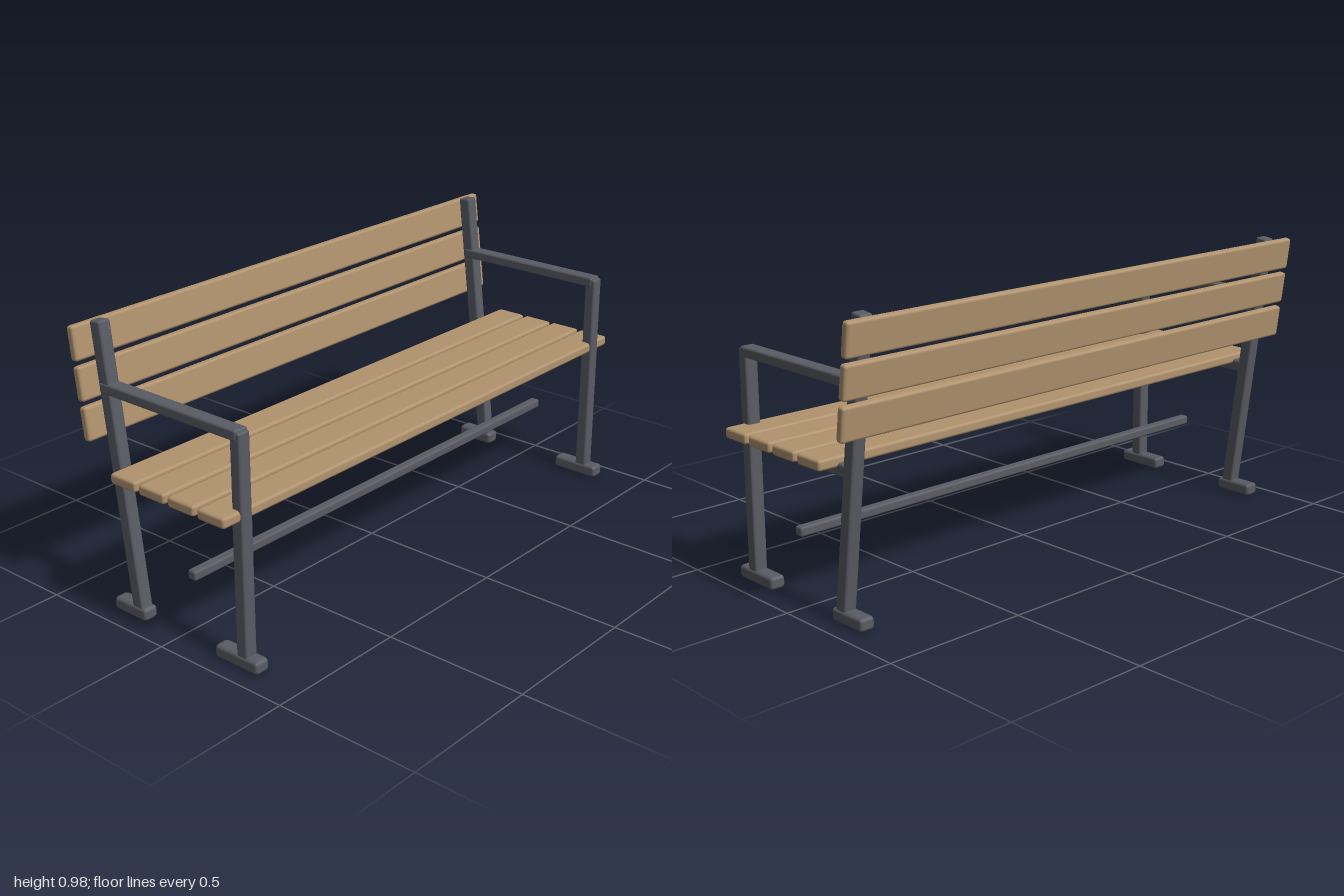
import * as THREE from 'three';
import { RoundedBoxGeometry } from 'three/addons/geometries/RoundedBoxGeometry.js';

const wood = new THREE.MeshStandardMaterial({ color: 0xb2946f });
wood.name = 'wood';
const metal = new THREE.MeshStandardMaterial({ color: 0x5a5c64 });
metal.name = 'dark metal';

// Bevelled bar given its size and centre, optionally tilted about x
function bar(parent, name, material, [w, h, d], [x, y, z], bevel, tilt = 0) {
  const mesh = new THREE.Mesh(new RoundedBoxGeometry(w, h, d, 1, bevel), material);
  mesh.name = name;
  mesh.position.set(x, y, z);
  mesh.rotation.x = tilt;
  parent.add(mesh);
  return mesh;
}

// Bevelled bar whose extents are given along y and z
function span(parent, name, width, [y0, y1], [z0, z1], bevel = 0.008) {
  return bar(parent, name, metal, [width, y1 - y0, z1 - z0], [0, (y0 + y1) / 2, (z0 + z1) / 2], bevel);
}

export function createModel() {
  const bench = new THREE.Group();
  bench.name = 'bench';
  const lean = -Math.atan2(0.122, 0.975);

  // Side frames: legs, feet, seat rail and armrest
  for (const side of [1, -1]) {
    const frame = new THREE.Group();
    frame.name = side > 0 ? 'leftFrame' : 'rightFrame';
    frame.position.x = side * 0.91;
    span(frame, 'frontLeg', 0.046, [0.02, 0.525], [0.259, 0.303]);
    span(frame, 'armPost', 0.046, [0.5, 0.778], [0.261, 0.302]);
    span(frame, 'armrest', 0.052, [0.749, 0.785], [-0.29, 0.29]);
    span(frame, 'seatRail', 0.046, [0.473, 0.514], [-0.23, 0.29]);
    span(frame, 'frontFoot', 0.054, [0.006, 0.05], [0.169, 0.348], 0.012);
    span(frame, 'backFoot', 0.054, [0.006, 0.05], [-0.286, -0.14], 0.012);
    bar(frame, 'backLeg', metal, [0.046, 0.98, 0.046], [0, 0.492, -0.236], 0.008, lean);
    bench.add(frame);
  }

  // Low bar between the frames
  bar(bench, 'crossBar', metal, [1.82, 0.033, 0.035], [0, 0.232, 0.053], 0.008);

  // Seat slats
  for (let i = 0; i < 4; i++) {
    bar(bench, 'seatSlat', wood, [2, 0.036, 0.112], [0, 0.517, 0.24 - i * 0.1247], 0.01);
  }

  // Backrest slats, leaning with the back legs
  for (let i = 0; i < 3; i++) {
    bar(bench, 'backSlat', wood, [2, 0.112, 0.03], [0, 0.664 + i * 0.126, -0.293 - i * 0.0165], 0.01, lean);
  }
  return bench;
}
